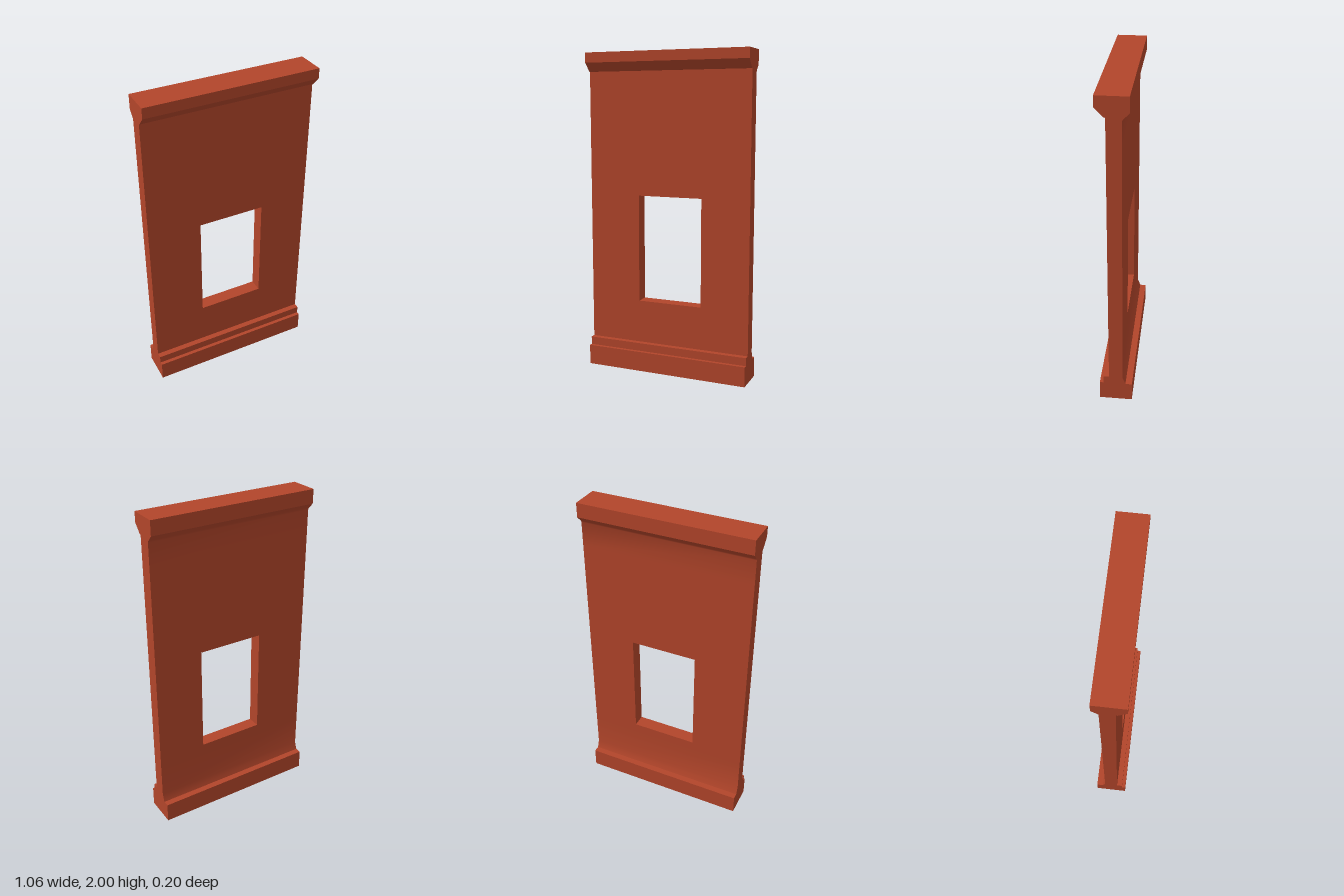
import * as THREE from 'three';
import { toCreasedNormals } from 'three/addons/utils/BufferGeometryUtils.js';

const WIDTH = 1.056;
const FACE = 0.042; // half thickness of the wall
const LOW = 0.38, HIGH = 1.72; // where the wall meets its base and cornice

const brick = new THREE.MeshStandardMaterial({ color: 0xb2452a });

// Extrude a [z, y] section across the full width; gentle bends stay smooth
function moulding(name, section) {
  const shape = new THREE.Shape(section.map(([z, y]) => new THREE.Vector2(-z, y)));
  const geometry = new THREE.ExtrudeGeometry(shape, { depth: WIDTH, bevelEnabled: false });
  geometry.translate(0, 0, -WIDTH / 2).rotateY(Math.PI / 2);
  const mesh = new THREE.Mesh(toCreasedNormals(geometry, 0.7), brick);
  mesh.name = name;
  return mesh;
}

function rectangle(Type, x0, x1, y0, y1) {
  return new Type([[x0, y0], [x1, y0], [x1, y1], [x0, y1]].map(([x, y]) => new THREE.Vector2(x, y)));
}

export function createModel() {
  const group = new THREE.Group();
  group.name = 'windowWallPanel';

  // Wall slab with the slightly off-centre window opening
  const shape = rectangle(THREE.Shape, -WIDTH / 2, WIDTH / 2, LOW, HIGH);
  shape.holes.push(rectangle(THREE.Path, -0.195, 0.222, 0.445, 1.12));
  const slab = new THREE.ExtrudeGeometry(shape, { depth: 2 * FACE, bevelEnabled: false });
  slab.translate(0, 0, -FACE);
  const wall = new THREE.Mesh(slab, brick);
  wall.name = 'wall';
  group.add(wall);

  // Base: stepped at the front, sloped ledge at the back
  group.add(moulding('base', [
    [0.1, 0], [0.1, 0.125], [0.077, 0.125], [0.077, 0.175], [FACE, 0.175], [FACE, LOW],
    [-FACE, LOW], [-FACE, 0.175], [-0.06, 0.125], [-0.1, 0.125], [-0.1, 0],
  ]));

  // Cornice: chamfered with a small lip at the front, coved at the back
  group.add(moulding('cornice', [
    [FACE, HIGH], [FACE, 1.885], [0.05, 1.885], [0.1, 1.938], [0.1, 2],
    [-0.081, 2], [-0.081, 1.913], [-0.047, 1.878], [-FACE, 1.868], [-FACE, HIGH],
  ]));

  return group;
}
